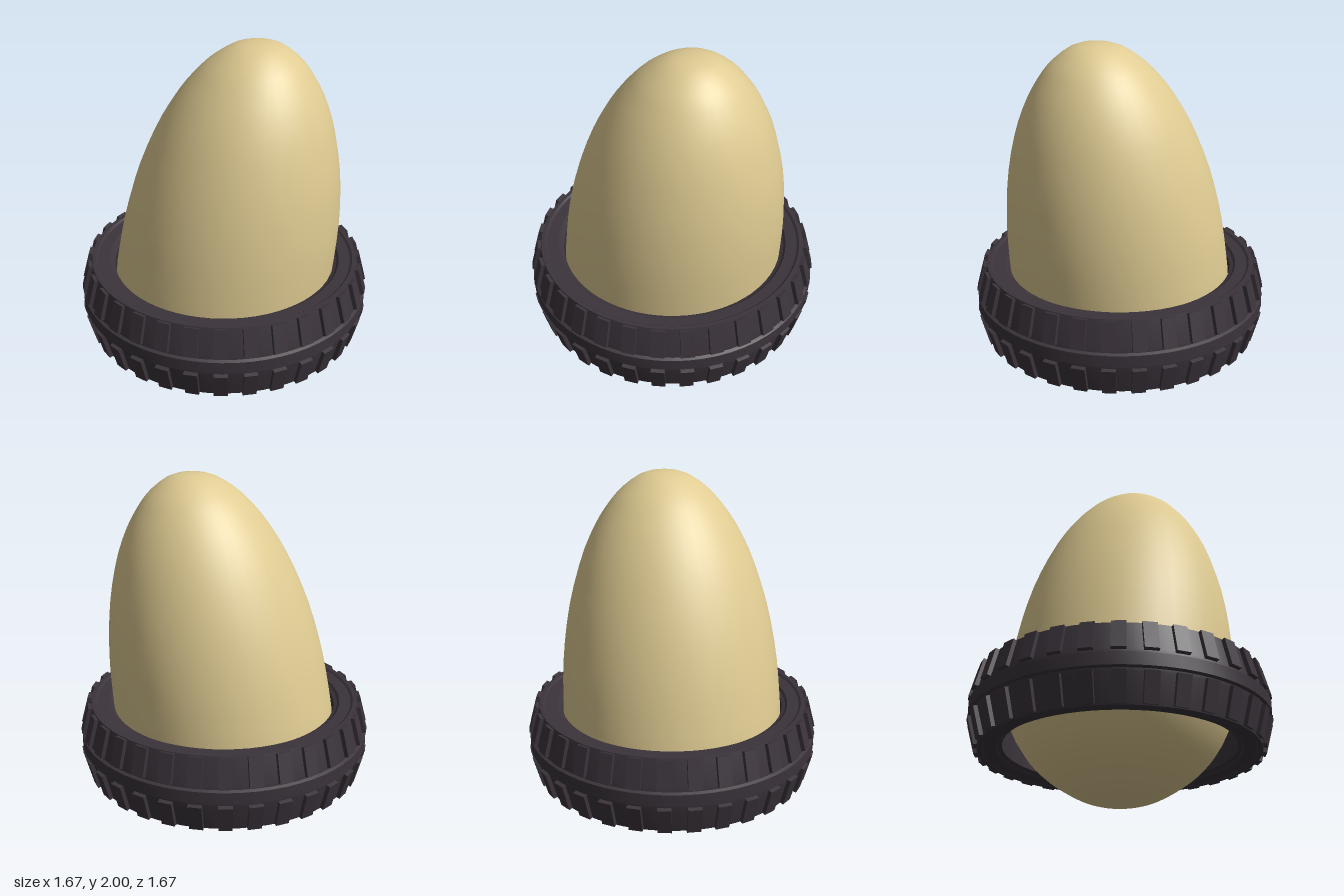
import * as THREE from 'three';
import { mergeVertices, toCreasedNormals } from 'three/addons/utils/BufferGeometryUtils.js';

const vec = ([x, y]) => new THREE.Vector2(x, y);

export function createModel() {
  const model = new THREE.Group();
  const cream = new THREE.MeshStandardMaterial({ color: 0xdfcb92 });
  cream.name = 'cream shell';
  const rubber = new THREE.MeshStandardMaterial({ color: 0x3b343b });
  rubber.name = 'dark rubber';

  // Egg: a smooth lathe whose upper part leans towards +x
  const eggProfile = new THREE.SplineCurve([
    [0, 0], [0.14, 0.02], [0.24, 0.055], [0.35, 0.12], [0.44, 0.19], [0.52, 0.28],
    [0.6, 0.42], [0.632, 0.58], [0.63, 0.75], [0.61, 1], [0.562, 1.27], [0.485, 1.52],
    [0.4, 1.7], [0.315, 1.825], [0.235, 1.91], [0.12, 1.985], [0, 2],
  ].map(vec)).getPoints(40);
  eggProfile.forEach((p) => { p.x = Math.max(p.x, 0); });
  let eggGeo = new THREE.LatheGeometry(eggProfile, 40);
  const pos = eggGeo.attributes.position;
  for (let i = 0; i < pos.count; i++) {
    const lean = Math.max(0, pos.getY(i) - 0.62) * 0.132;
    pos.setX(i, pos.getX(i) + lean);
  }
  eggGeo.deleteAttribute('uv');
  eggGeo.deleteAttribute('normal');
  eggGeo = mergeVertices(eggGeo, 1e-4);
  eggGeo.computeVertexNormals();
  const egg = new THREE.Mesh(eggGeo, cream);
  egg.name = 'egg';
  model.add(egg);

  // Tyre: closed ring profile, mirrored about its middle height
  const tyre = new THREE.Group();
  tyre.name = 'tyre';
  tyre.position.y = 0.495;
  model.add(tyre);
  const upper = [
    [0.832, 0.034], [0.815, 0.042], [0.813, 0.06], [0.772, 0.215], [0.75, 0.215],
    [0.738, 0.205], [0.672, 0.203], [0.66, 0.19], [0.64, 0.182],
  ];
  const lower = upper.map(([r, y]) => [r, -y]).reverse();
  const ring = [...lower, ...upper, lower[0]].map(vec);
  const body = new THREE.Mesh(toCreasedNormals(new THREE.LatheGeometry(ring, 64), 0.4), rubber);
  body.name = 'tyreBody';
  tyre.add(body);

  // Tread blocks: two rows, following the slope of each shoulder
  const COUNT = 32;
  const blockGeo = new THREE.BoxGeometry(0.076, 0.162, 0.045);
  for (const side of [1, -1]) {
    for (let i = 0; i < COUNT; i++) {
      const spoke = new THREE.Group();
      spoke.name = side > 0 ? 'upperTread' : 'lowerTread';
      spoke.rotation.y = ((i + 0.5) / COUNT) * Math.PI * 2;
      const block = new THREE.Mesh(blockGeo, rubber);
      block.name = 'treadBlock';
      block.position.set(0, side * 0.131, 0.793);
      block.rotation.x = -side * 0.26;
      spoke.add(block);
      tyre.add(spoke);
    }
  }
  return model;
}
